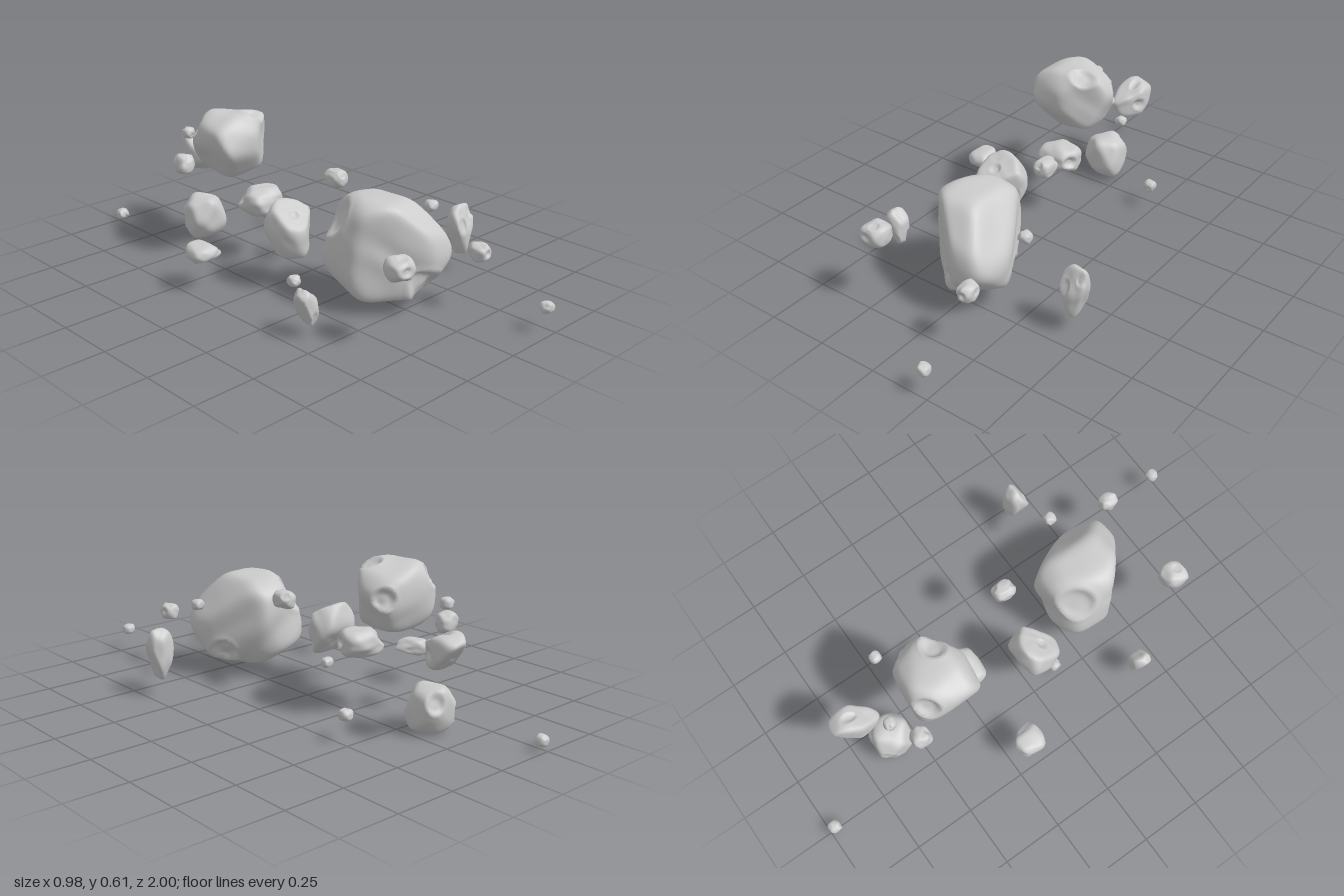
import * as THREE from 'three';
import { mergeVertices } from 'three/addons/utils/BufferGeometryUtils.js';

const material = new THREE.MeshStandardMaterial({ color: 0xcccccc });

function seeded(seed) {
  let s = seed * 7919 + 17;
  return () => (s = (s * 16807) % 2147483647) / 2147483647;
}

// Six box sides plus evenly spread random planes, as [normal, distance] with the rock spanning -1..1
function basePlanes(rand) {
  const planes = [];
  for (const axis of ['x', 'y', 'z']) {
    for (const sign of [-1, 1]) {
      const n = new THREE.Vector3();
      n[axis] = sign;
      planes.push([n, 1]);
    }
  }
  const count = 22;
  for (let i = 0; i < count; i++) {
    const y = 1 - (2 * i + 1) / count, a = i * 2.4 + rand() * 0.7, r = Math.sqrt(1 - y * y);
    const n = new THREE.Vector3(r * Math.cos(a), y + (rand() - 0.5) * 0.3, r * Math.sin(a)).normalize();
    planes.push([n, 0.98 + rand() * 0.2]);
  }
  return planes;
}

// One asteroid. cuts: [nx, ny, nz, distance]; craters: [dx, dy, dz, angular radius, depth]
function rock(group, name, centre, size, detail, cuts, craters) {
  const rand = seeded(group.children.length + 1);
  const randomDir = () => new THREE.Vector3(rand() - 0.5, rand() - 0.5, rand() - 0.5).normalize();
  const planes = basePlanes(rand);
  for (const [x, y, z, d] of cuts) planes.push([new THREE.Vector3(x, y, z).normalize(), d]);
  const pits = craters.map(([x, y, z, radius, depth]) => ({ dir: new THREE.Vector3(x, y, z).normalize(), radius, depth }));
  while (pits.length < 2) pits.push({ dir: randomDir(), radius: 0.4, depth: 0.15 });
  const waves = Array.from({ length: 7 }, () => ({ dir: randomDir().multiplyScalar(4 + rand() * 7), phase: rand() * 6.28 }));

  let geo = new THREE.IcosahedronGeometry(1, detail);
  geo.deleteAttribute('uv');
  geo.deleteAttribute('normal');
  geo = mergeVertices(geo, 1e-4);
  const pos = geo.attributes.position, p = new THREE.Vector3();
  for (let i = 0; i < pos.count; i++) {
    p.fromBufferAttribute(pos, i).normalize();
    // Smoothed meeting of all the planes
    let sum = 0;
    for (const [n, d] of planes) sum += Math.max(0, n.dot(p) / d) ** 16;
    let r = sum ** (-1 / 16);
    for (const w of waves) r *= 1 + 0.009 * Math.sin(w.dir.dot(p) + w.phase);
    // Bowl with a slightly raised rim
    for (const c of pits) {
      const t = p.angleTo(c.dir) / c.radius;
      if (t < 1) r *= 1 - c.depth * (1 - t ** 4);
      r *= 1 + 0.02 * Math.exp(-(((t - 1.1) / 0.15) ** 2));
    }
    p.multiplyScalar(r);
    pos.setXYZ(i, p.x, p.y, p.z);
  }

  // Unit rock to its own width, height and depth
  geo.center();
  const span = geo.boundingBox.getSize(new THREE.Vector3());
  geo.scale(size[0] / span.x, size[1] / span.y, size[2] / span.z);
  geo.computeVertexNormals();
  const mesh = new THREE.Mesh(geo, material);
  mesh.name = name;
  mesh.position.set(...centre);
  group.add(mesh);
}

export function createModel() {
  const group = new THREE.Group();
  group.name = 'asteroidField';

  // Two main bodies
  rock(group, 'largeAsteroid', [-0.01, 0.245, 0.405], [0.38, 0.39, 0.41], 17,
    [[-0.65, 0, 0.76, 0.64], [0.87, 0, -0.49, 0.77], [0.81, 0.59, 0, 0.83], [-0.99, 0.14, 0, 0.93]],
    [[0.72, -0.65, -0.15, 0.3, 0.18], [0.15, -0.6, 0.8, 0.3, 0.12], [-0.6, 0.5, -0.6, 0.35, 0.1]]);
  rock(group, 'secondAsteroid', [-0.092, 0.485, -0.367], [0.305, 0.27, 0.275], 15,
    [[0.95, -0.32, 0, 0.85], [-0.87, -0.49, 0, 0.83], [0, -0.54, 0.84, 0.85], [0.67, 0, 0.74, 0.74]],
    [[0.38, 0.85, 0.32, 0.32, 0.16], [-0.6, 0.45, -0.6, 0.3, 0.15], [0.75, 0.1, -0.6, 0.3, 0.15]]);

  // Medium rocks
  rock(group, 'middleAsteroid', [-0.162, 0.25, 0.057], [0.195, 0.22, 0.175], 11,
    [[0, 0.91, 0.42, 0.55], [0, -0.72, -0.7, 0.72], [0.69, 0, 0.72, 0.68]],
    [[0.8, -0.4, 0.25, 0.35, 0.16], [-0.2, 0.8, 0.4, 0.4, 0.13]]);
  rock(group, 'lowRearAsteroid', [-0.082, 0.098, -0.595], [0.165, 0.185, 0.16], 11,
    [], [[0.5, 0.4, -0.75, 0.4, 0.15], [-0.7, -0.1, -0.6, 0.4, 0.15]]);
  rock(group, 'slantedRearAsteroid', [-0.022, 0.355, -0.695], [0.125, 0.15, 0.19], 10,
    [[0, 0.79, 0.61, 0.66], [0, -0.54, -0.84, 0.45], [-0.77, 0, -0.64, 0.76], [0.55, 0, 0.84, 0.72]],
    [[0.8, -0.1, 0.3, 0.35, 0.2], [0.1, 0.9, 0, 0.35, 0.15]]);
  rock(group, 'flatAsteroid', [-0.07, 0.267, -0.222], [0.17, 0.115, 0.145], 10,
    [], [[0.8, 0.1, 0.4, 0.4, 0.2]]);
  rock(group, 'wedgeAsteroid', [-0.428, 0.161, -0.167], [0.125, 0.072, 0.125], 9,
    [[0.5, -0.86, 0, 0.76], [0.86, 0.51, 0, 0.76], [0.7, 0, -0.7, 0.72]], []);

  // Pointed shards
  rock(group, 'longShard', [0.437, 0.177, 0.397], [0.105, 0.213, 0.095], 11,
    [[0.85, -0.53, 0, 0.73], [-0.8, -0.6, 0, 0.68], [0, 0.68, 0.73, 0.74]], [[0.6, 0.6, 0.3, 0.3, 0.12]]);
  rock(group, 'shortShard', [-0.42, 0.122, 0.4], [0.08, 0.145, 0.08], 9,
    [[0.45, 0.89, 0, 0.78], [-0.8, -0.6, 0, 0.35]], [[0.3, -0.5, 0.7, 0.4, 0.15]]);

  // Small rocks
  rock(group, 'frontRightAsteroid', [-0.247, 0.309, 0.682], [0.105, 0.088, 0.105], 9, [], []);
  rock(group, 'frontLeftAsteroid', [0.186, 0.244, 0.691], [0.068, 0.072, 0.082], 8,
    [], [[0.1, 0.05, 1, 0.4, 0.2], [0.9, 0.2, -0.2, 0.4, 0.15]]);
  rock(group, 'upperSmallAsteroid', [0.063, 0.401, 0.066], [0.075, 0.072, 0.093], 8, [], []);
  rock(group, 'rearSmallAsteroid', [-0.227, 0.383, -0.525], [0.08, 0.085, 0.08], 8, [], []);

  // Pebbles: x, y, z
  const pebbles = [[-0.215, 0.066, 0.123], [0.23, 0.338, 0.418], [0.22, 0.108, 0.974],
    [-0.245, 0.043, -0.976], [-0.145, 0.485, -0.598], [0.225, 0.11, -0.465]];
  pebbles.forEach((at, i) => rock(group, `pebble${i + 1}`, at, [0.05, 0.045, 0.05], 5, [], []));
  return group;
}
